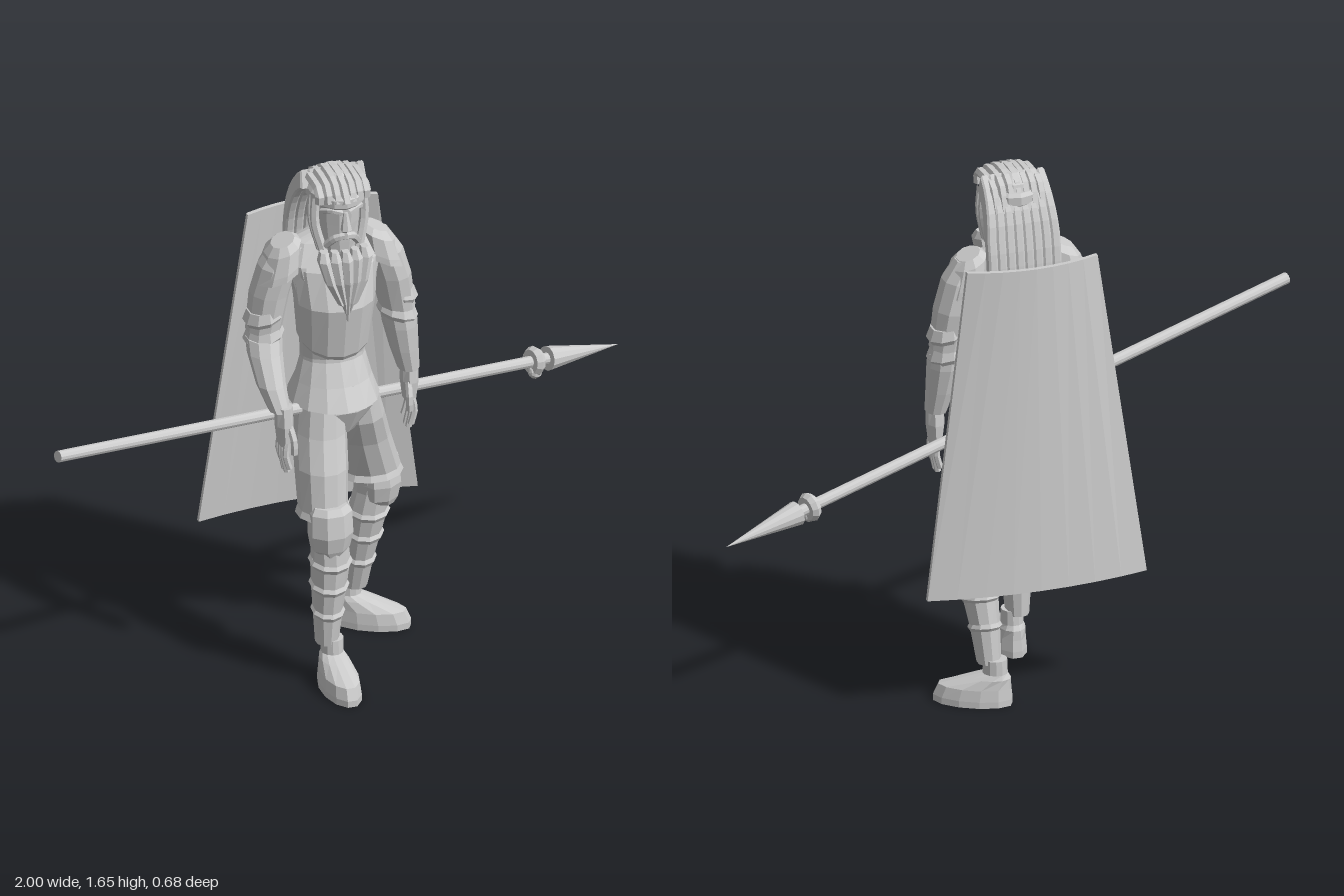
import * as THREE from 'three';

const stone = new THREE.MeshStandardMaterial({ color: 0xcccccc, flatShading: true });
stone.name = 'pale grey';

export function createModel() {
  const model = new THREE.Group();
  model.name = 'armouredWarrior';

  const add = (name, geometry, parent = model) => {
    const mesh = new THREE.Mesh(geometry, stone);
    mesh.name = name;
    parent.add(mesh);
    return mesh;
  };

  // Closed skin over horizontal ellipses [y, cx, cz, rx, rz], listed from top to bottom
  const loft = (rings, sides = 10, warp = null) => {
    const pos = [], index = [];
    const up = [...rings].reverse();
    for (const [y, cx, cz, rx, rz] of up) {
      for (let i = 0; i < sides; i++) {
        const a = ((i + 0.5) / sides) * Math.PI * 2;
        const v = new THREE.Vector3(cx + rx * Math.cos(a), y, cz + rz * Math.sin(a));
        if (warp) warp(v, a);
        pos.push(v.x, v.y, v.z);
      }
    }
    const last = up.length - 1;
    for (let j = 0; j < last; j++) {
      for (let i = 0; i < sides; i++) {
        const a = j * sides + i, b = j * sides + (i + 1) % sides;
        index.push(a, a + sides, b, b, a + sides, b + sides);
      }
    }
    for (let i = 1; i < sides - 1; i++) {
      index.push(0, i, i + 1);
      index.push(last * sides, last * sides + i + 1, last * sides + i);
    }
    const g = new THREE.BufferGeometry();
    g.setAttribute('position', new THREE.Float32BufferAttribute(pos, 3));
    g.setIndex(index);
    const flat = g.toNonIndexed();
    flat.computeVertexNormals();
    return flat;
  };

  const tube = (points, r, segs = 10) => new THREE.TubeGeometry(
    new THREE.CatmullRomCurve3(points.map(p => new THREE.Vector3(...p))), segs, r, 6);

  // Torso, breastplate with a dipping lower edge, flared tunic
  add('torso', loft([
    [1.46, -0.01, -0.05, 0.045, 0.04], [1.42, -0.01, -0.05, 0.06, 0.05], [1.40, -0.01, -0.045, 0.12, 0.06],
    [1.34, -0.01, -0.025, 0.15, 0.085], [1.22, -0.015, 0.005, 0.118, 0.1],
    [1.10, -0.015, -0.005, 0.103, 0.085], [1.03, -0.015, -0.01, 0.1, 0.072],
  ], 14));
  add('breastplate', loft([
    [1.38, -0.01, -0.035, 0.11, 0.065], [1.33, -0.01, -0.02, 0.135, 0.1],
    [1.22, -0.015, 0.01, 0.124, 0.112], [1.10, -0.015, 0, 0.112, 0.095], [1.085, -0.015, 0, 0.102, 0.085],
  ], 14, (v, a) => { if (v.y < 1.15) v.y -= 0.045 * Math.max(0, Math.sin(a)); }));
  add('tunicSkirt', loft([
    [1.06, -0.015, -0.01, 0.098, 0.07], [1.02, -0.015, -0.01, 0.1, 0.074],
    [0.95, -0.015, -0.008, 0.118, 0.105], [0.885, -0.015, -0.008, 0.14, 0.145], [0.89, -0.015, -0.008, 0.12, 0.12],
  ], 14));
  add('hips', loft([
    [0.95, -0.012, -0.005, 0.11, 0.1], [0.87, -0.012, 0, 0.13, 0.115], [0.79, -0.01, 0, 0.06, 0.08],
  ], 12));

  // Legs: the right one steps forward, the left one stays back and turns out
  const legs = [
    { side: 'right', kneePad: [-0.08, 0.155], padTurn: 0, foot: [-0.068, 0.207, 0.0],
      trouser: [[0.90, -0.06, 0.01, 0.075, 0.095], [0.8, -0.07, 0.03, 0.08, 0.1], [0.7, -0.08, 0.075, 0.08, 0.092],
        [0.575, -0.085, 0.105, 0.075, 0.08], [0.555, -0.085, 0.105, 0.083, 0.09], [0.55, -0.085, 0.11, 0.065, 0.07]],
      shin: [[0.58, -0.08, 0.13, 0.06, 0.06], [0.48, -0.078, 0.145, 0.056, 0.055], [0.41, -0.075, 0.143, 0.06, 0.06],
        [0.33, -0.078, 0.14, 0.054, 0.056], [0.24, -0.08, 0.135, 0.045, 0.048], [0.13, -0.082, 0.132, 0.035, 0.04]] },
    { side: 'left', kneePad: [0.168, -0.105], padTurn: 0.6, foot: [0.16, -0.16, 1.05],
      trouser: [[0.90, 0.045, -0.015, 0.075, 0.1], [0.8, 0.065, -0.03, 0.085, 0.1], [0.7, 0.095, -0.07, 0.088, 0.092],
        [0.57, 0.135, -0.1, 0.093, 0.08], [0.55, 0.135, -0.103, 0.102, 0.09], [0.545, 0.14, -0.105, 0.08, 0.07]],
      shin: [[0.57, 0.15, -0.108, 0.06, 0.06], [0.48, 0.148, -0.118, 0.056, 0.055], [0.41, 0.138, -0.128, 0.06, 0.06],
        [0.33, 0.13, -0.142, 0.054, 0.056], [0.24, 0.122, -0.16, 0.045, 0.05], [0.13, 0.115, -0.178, 0.037, 0.038]] },
  ];
  for (const { side, kneePad, padTurn, foot, trouser, shin } of legs) {
    add(side + 'Trouser', loft(trouser, 12));
    add(side + 'Greave', loft(shin, 10));
    // Raised bands at the joints of the greave
    for (const k of [2, 3, 4]) {
      const [y, x, z, rx, rz] = shin[k];
      add(side + 'GreaveBand', loft([
        [y + 0.012, x, z, rx, rz], [y, x, z, rx + 0.007, rz + 0.007], [y - 0.014, x, z, rx - 0.002, rz - 0.002],
      ], 10, (v, a) => { v.y -= 0.012 * Math.sin(a); }));
    }
    const pad = add(side + 'KneePad', loft([
      [0.09, 0, -0.005, 0.055, 0.045], [0.07, 0, 0, 0.068, 0.055], [0, 0, 0.004, 0.07, 0.06],
      [-0.05, 0, 0, 0.06, 0.054], [-0.07, 0, 0, 0.035, 0.045],
    ], 8));
    pad.position.set(kneePad[0], 0.51, kneePad[1]);
    pad.rotation.y = padTurn;
    // Shoe with the ankle set near the heel
    const shoe = add(side + 'Shoe', loft([
      [0.145, 0, -0.068, 0.034, 0.036], [0.1, 0, -0.068, 0.034, 0.038], [0.085, 0, -0.05, 0.043, 0.066],
      [0.055, 0, -0.006, 0.053, 0.112], [0.02, 0, 0, 0.057, 0.122], [0, 0, 0, 0.057, 0.122],
    ], 12));
    shoe.position.set(foot[0], 0, foot[1]);
    shoe.rotation.y = foot[2];
  }

  // Arms with shoulder plate, elbow band, cuffed forearm and hand
  const arms = [
    { side: 'right', s: -1, shoulder: [-0.16, -0.045], elbow: [-0.22, -0.045], hand: [-0.205, 0.885, 0.098],
      upper: [[1.39, -0.145, -0.045, 0.05, 0.055], [1.33, -0.175, -0.045, 0.06, 0.072], [1.24, -0.2, -0.05, 0.06, 0.072],
        [1.12, -0.22, -0.045, 0.054, 0.06]],
      lower: [[1.1, -0.223, -0.035, 0.055, 0.06], [1.06, -0.228, -0.01, 0.053, 0.058], [0.98, -0.228, 0.045, 0.044, 0.05],
        [0.91, -0.215, 0.085, 0.033, 0.04]] },
    { side: 'left', s: 1, shoulder: [0.135, -0.045], elbow: [0.205, -0.056], hand: [0.238, 0.89, -0.042],
      upper: [[1.39, 0.125, -0.045, 0.05, 0.055], [1.33, 0.155, -0.045, 0.06, 0.072], [1.24, 0.182, -0.05, 0.06, 0.075],
        [1.12, 0.205, -0.056, 0.054, 0.062]],
      lower: [[1.1, 0.208, -0.055, 0.054, 0.062], [1.06, 0.213, -0.054, 0.052, 0.062], [0.98, 0.224, -0.049, 0.043, 0.052],
        [0.91, 0.236, -0.044, 0.033, 0.04]] },
  ];
  for (const { side, s, shoulder, elbow, hand, upper, lower } of arms) {
    add(side + 'UpperArm', loft(upper, 10));
    add(side + 'Forearm', loft(lower, 10));
    const [sx, sz] = shoulder;
    add(side + 'ShoulderPlate', loft([
      [1.405, sx, sz, 0.035, 0.045], [1.385, sx, sz, 0.055, 0.07], [1.33, sx + 0.012 * s, sz, 0.066, 0.084],
      [1.31, sx + 0.016 * s, sz, 0.07, 0.086], [1.305, sx + 0.016 * s, sz, 0.055, 0.07],
    ], 10, v => { v.y -= (v.x - sx) * s * 0.4; }));
    for (const y of [1.165, 1.1]) add(side + 'ElbowBand', loft([
      [y + 0.03, elbow[0], elbow[1], 0.05, 0.06], [y, elbow[0], elbow[1], 0.062, 0.07],
      [y - 0.015, elbow[0], elbow[1], 0.054, 0.062],
    ], 10, v => { v.y -= (v.x - elbow[0]) * s * 0.25; }));
    const group = new THREE.Group();
    group.name = side + 'Hand';
    group.position.set(...hand);
    model.add(group);
    add('palm', loft([[0.04, 0, 0, 0.026, 0.03], [-0.02, 0, 0, 0.027, 0.04], [-0.085, 0, 0, 0.018, 0.04]], 8), group);
    for (let i = 0; i < 4; i++) {
      const z = (i - 1.5) * 0.02, len = i === 0 || i === 3 ? 0.075 : 0.095;
      add('finger', tube([[0, -0.07, z], [0.006 * s, -0.11, z * 1.1], [-0.006 * s, -0.08 - len, z * 1.1]], 0.01, 4), group);
    }
    add('thumb', tube([[-0.01 * s, -0.02, 0.025], [-0.015 * s, -0.06, 0.05], [-0.015 * s, -0.1, 0.052]], 0.011, 4), group);
  }

  // Head and face
  const hx = -0.012;
  add('head', loft([
    [1.645, hx, 0, 0.03, 0.045], [1.62, hx, 0, 0.06, 0.08], [1.57, hx, 0.005, 0.075, 0.1],
    [1.5, hx, 0.008, 0.07, 0.093], [1.44, hx, 0.025, 0.062, 0.07], [1.4, hx, 0.05, 0.045, 0.04], [1.38, hx, 0.06, 0.028, 0.022],
  ], 12));
  add('neck', loft([[1.5, hx, -0.05, 0.05, 0.05], [1.38, hx, -0.06, 0.055, 0.045]], 10));
  add('nose', loft([[1.545, hx, 0.1, 0.007, 0.008], [1.49, hx, 0.108, 0.017, 0.018], [1.48, hx, 0.1, 0.012, 0.01]], 6));
  for (const s of [-1, 1]) {
    add('eyebrow', tube([[hx + 0.01 * s, 1.545, 0.103], [hx + 0.04 * s, 1.552, 0.09], [hx + 0.062 * s, 1.54, 0.06]], 0.009, 5));
    add('moustache', tube([[hx, 1.465, 0.1], [hx + 0.025 * s, 1.458, 0.09], [hx + 0.05 * s, 1.425, 0.065]], 0.012, 5));
    for (const z of [0.015, 0.042]) add('sideLock', tube([
      [hx + 0.074 * s, 1.58, z], [hx + 0.078 * s, 1.5, z + 0.004], [hx + 0.055 * s, 1.4, z + 0.02]], 0.014, 6));
  }
  // Beard of strands meeting in a point
  for (let i = -2; i <= 2; i++) {
    add('beardStrand', loft([
      [1.415, hx + i * 0.032, 0.1 - 0.008 * Math.abs(i), 0.012, 0.018], [1.39, hx + i * 0.033, 0.108 - 0.007 * Math.abs(i), 0.02, 0.028],
      [1.32, hx + i * 0.025, 0.118 - 0.004 * Math.abs(i), 0.017, 0.026], [1.25, hx + i * 0.011, 0.12, 0.01, 0.015],
      [1.24 - 0.05 * (1 - Math.abs(i) / 2), hx + i * 0.005, 0.122, 0.003, 0.004],
    ], 6));
  }
  // Headband and braids running back over the crown
  add('headband', loft([
    [1.6, hx, 0.004, 0.078, 0.1], [1.59, hx, 0.005, 0.086, 0.112], [1.565, hx, 0.005, 0.086, 0.112], [1.555, hx, 0.005, 0.076, 0.1],
  ], 14));
  for (let i = -3; i <= 3; i++) {
    const x = i * 0.024, h = 0.055 * Math.sqrt(1 - (i / 4.2) ** 2);
    add('crownBraid', tube([[hx + x, 1.575, 0.112 - Math.abs(i) * 0.012], [hx + x, 1.58 + h * 0.75, 0.075],
      [hx + x, 1.58 + h, 0.01], [hx + x, 1.58 + h * 0.8, -0.055], [hx + x, 1.54, -0.095]], 0.0155));
  }
  // Ribbed fall of hair behind the head, tapering towards the bottom
  const fall = new THREE.Shape();
  fall.moveTo(-0.025, 1.635);
  fall.quadraticCurveTo(-0.11, 1.58, -0.128, 1.47);
  fall.quadraticCurveTo(-0.152, 1.38, -0.147, 1.215);
  fall.lineTo(-0.13, 1.215);
  fall.quadraticCurveTo(-0.128, 1.4, -0.1, 1.47);
  fall.quadraticCurveTo(-0.07, 1.56, -0.01, 1.59);
  const ribs = 8, ribWidth = 0.0285;
  for (let i = 0; i < ribs; i++) {
    const g = new THREE.ExtrudeGeometry(fall, { depth: ribWidth - 0.012, steps: 1, curveSegments: 5,
      bevelEnabled: true, bevelSize: 0.005, bevelThickness: 0.006, bevelSegments: 1 });
    g.rotateY(-Math.PI / 2);
    g.translate((i - ribs / 2 + 1) * ribWidth - 0.006, 0, 0);
    const p = g.attributes.position;
    for (let k = 0; k < p.count; k++) {
      const spread = 0.88 + 0.12 * Math.min(1, Math.max(0, (1.63 - p.getY(k)) / 0.15));
      p.setX(k, hx + p.getX(k) * spread);
    }
    g.computeVertexNormals();
    add('hairFallRib', g);
  }

  // Stiff cape: a bowed slab that widens and leans back towards the bottom
  const cape = new THREE.BoxGeometry(2, 1, 0.015, 8, 1, 1);
  const cp = cape.attributes.position;
  for (let k = 0; k < cp.count; k++) {
    const u = cp.getX(k), t = cp.getY(k) + 0.5, d = cp.getZ(k);
    cp.setXYZ(k, -0.01 + u * THREE.MathUtils.lerp(0.345, 0.205, t), THREE.MathUtils.lerp(0.39, 1.42, t),
      THREE.MathUtils.lerp(-0.248, -0.206, t) - 0.04 * (1 - u * u) + d);
  }
  cape.computeVertexNormals();
  add('cape', cape);

  // Spear carried level across the body
  const tail = new THREE.Vector3(-0.995, 1.005, 0.32), tip = new THREE.Vector3(1, 0.7, -0.34);
  const length = tail.distanceTo(tip);
  const spear = new THREE.Group();
  spear.name = 'spear';
  spear.position.copy(tail);
  spear.quaternion.setFromUnitVectors(new THREE.Vector3(0, 1, 0), tip.clone().sub(tail).normalize());
  model.add(spear);
  add('shaft', new THREE.CylinderGeometry(0.018, 0.018, length - 0.25, 12), spear).position.y = (length - 0.25) / 2;
  add('spearhead', new THREE.ConeGeometry(0.038, 0.27, 12), spear).position.y = length - 0.135;
  const binding = add('binding', new THREE.TorusGeometry(0.028, 0.018, 6, 12), spear);
  binding.rotation.x = Math.PI / 2;
  binding.position.y = length - 0.318;
  add('bindingKnot', new THREE.SphereGeometry(0.022, 8, 6), spear).position.set(0.032, length - 0.318, 0);

  return model;
}
